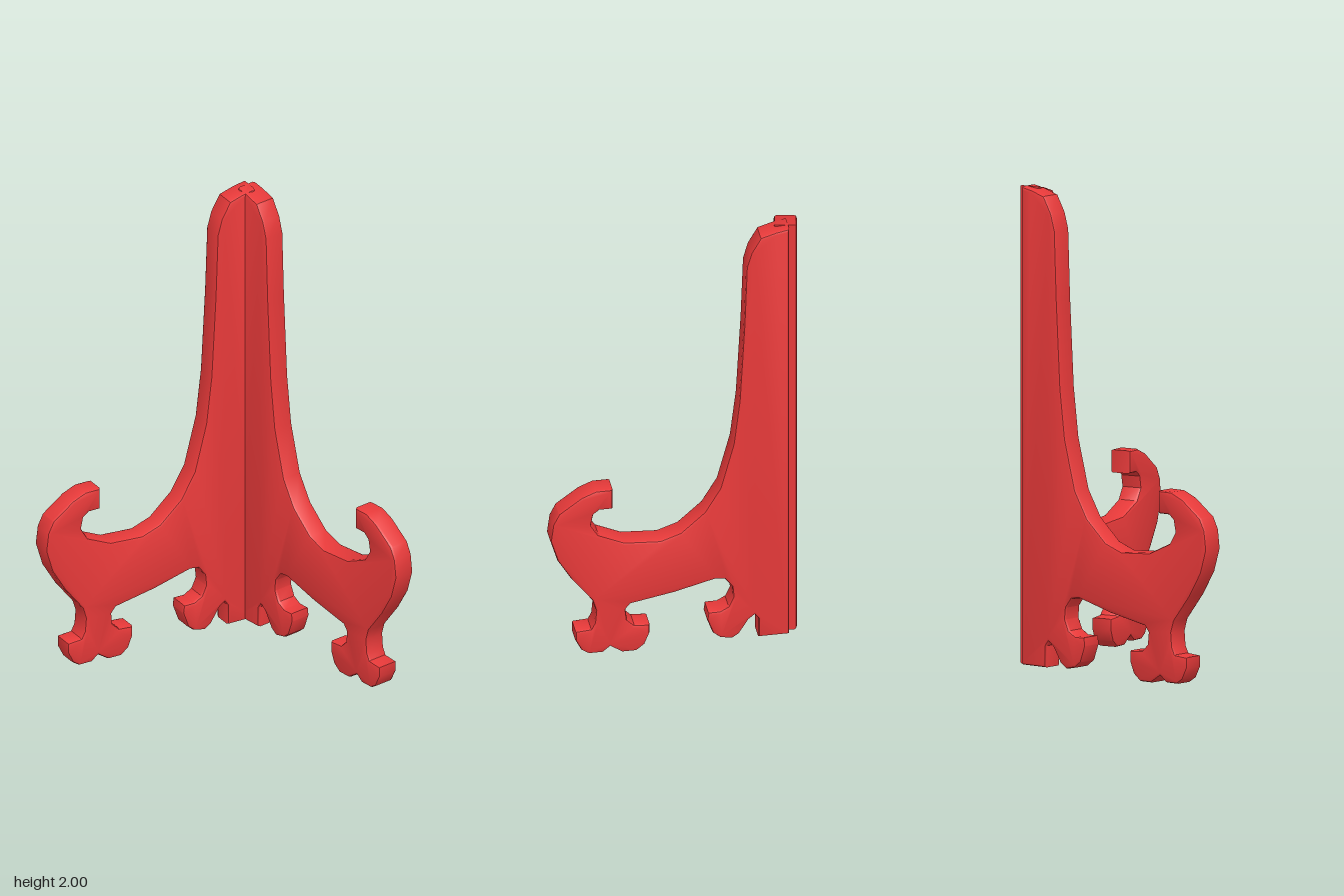
import * as THREE from 'three';
import { toCreasedNormals } from 'three/addons/utils/BufferGeometryUtils.js';

const THICKNESS = 0.095;
const BEVEL = 0.012;
const SPLAY = 0.088; // each panel opens slightly past a right angle

// Panel silhouette: hinge edge at +x, hook and foot at -x
const outline = [
  // hinge edge and rounded top
  [0.44, 0.01], [0.44, 2], [0.385, 1.99], [0.32, 1.97], [0.28, 1.9], [0.26, 1.83],
  // upright sweeping into the cradle
  [0.25, 1.55], [0.23, 1.18], [0.205, 0.97], [0.15, 0.76], [0.085, 0.65],
  [-0.015, 0.56], [-0.1, 0.53], [-0.25, 0.54], [-0.36, 0.59],
  // hook
  [-0.39, 0.64], [-0.38, 0.69], [-0.355, 0.71], [-0.3, 0.71], [-0.3, 0.805],
  [-0.37, 0.805], [-0.43, 0.78], [-0.525, 0.71], [-0.55, 0.66], [-0.56, 0.58],
  [-0.53, 0.48], [-0.47, 0.38], [-0.385, 0.27],
  // front foot
  [-0.37, 0.22], [-0.375, 0.16], [-0.39, 0.13], [-0.455, 0.125], [-0.455, 0.08],
  [-0.43, 0.03], [-0.4, 0.01], [-0.34, 0.01], [-0.31, 0.035], [-0.26, 0.002],
  [-0.2, 0.002], [-0.165, 0.03], [-0.145, 0.08], [-0.145, 0.125], [-0.21, 0.13],
  [-0.24, 0.16], [-0.245, 0.21], [-0.225, 0.235],
  // underside and scroll beside the hinge
  [-0.04, 0.27], [0.13, 0.315], [0.17, 0.31], [0.2, 0.27], [0.205, 0.22],
  [0.185, 0.175], [0.15, 0.155], [0.1, 0.155], [0.095, 0.12], [0.12, 0.05],
  [0.15, 0.025], [0.2, 0.015], [0.23, 0.035], [0.27, 0.1], [0.295, 0.12],
  [0.31, 0.1], [0.31, 0.01],
];

function panelGeometry() {
  const shape = new THREE.Shape(outline.map(([x, y]) => new THREE.Vector2(x, y)));
  const depth = THICKNESS - 2 * BEVEL;
  const geometry = new THREE.ExtrudeGeometry(shape, {
    depth,
    bevelEnabled: true,
    bevelThickness: BEVEL,
    bevelSize: BEVEL,
    bevelOffset: -BEVEL,
    bevelSegments: 2,
  });
  geometry.translate(0, 0, -depth / 2);
  return toCreasedNormals(geometry, 0.6);
}

export function createModel() {
  const group = new THREE.Group();
  group.name = 'foldingStand';
  const material = new THREE.MeshStandardMaterial({ color: 0xe63939 });
  const geometry = panelGeometry();

  // The two panels meet along their upright hinge edges
  const addPanel = (name, x, z, angle) => {
    const panel = new THREE.Mesh(geometry, material);
    panel.name = name;
    panel.position.set(x, 0, z);
    panel.rotation.y = angle;
    group.add(panel);
  };
  addPanel('backPanel', 0, -0.467, -SPLAY);
  addPanel('sidePanel', 0.467, 0, Math.PI / 2 + SPLAY);

  return group;
}
